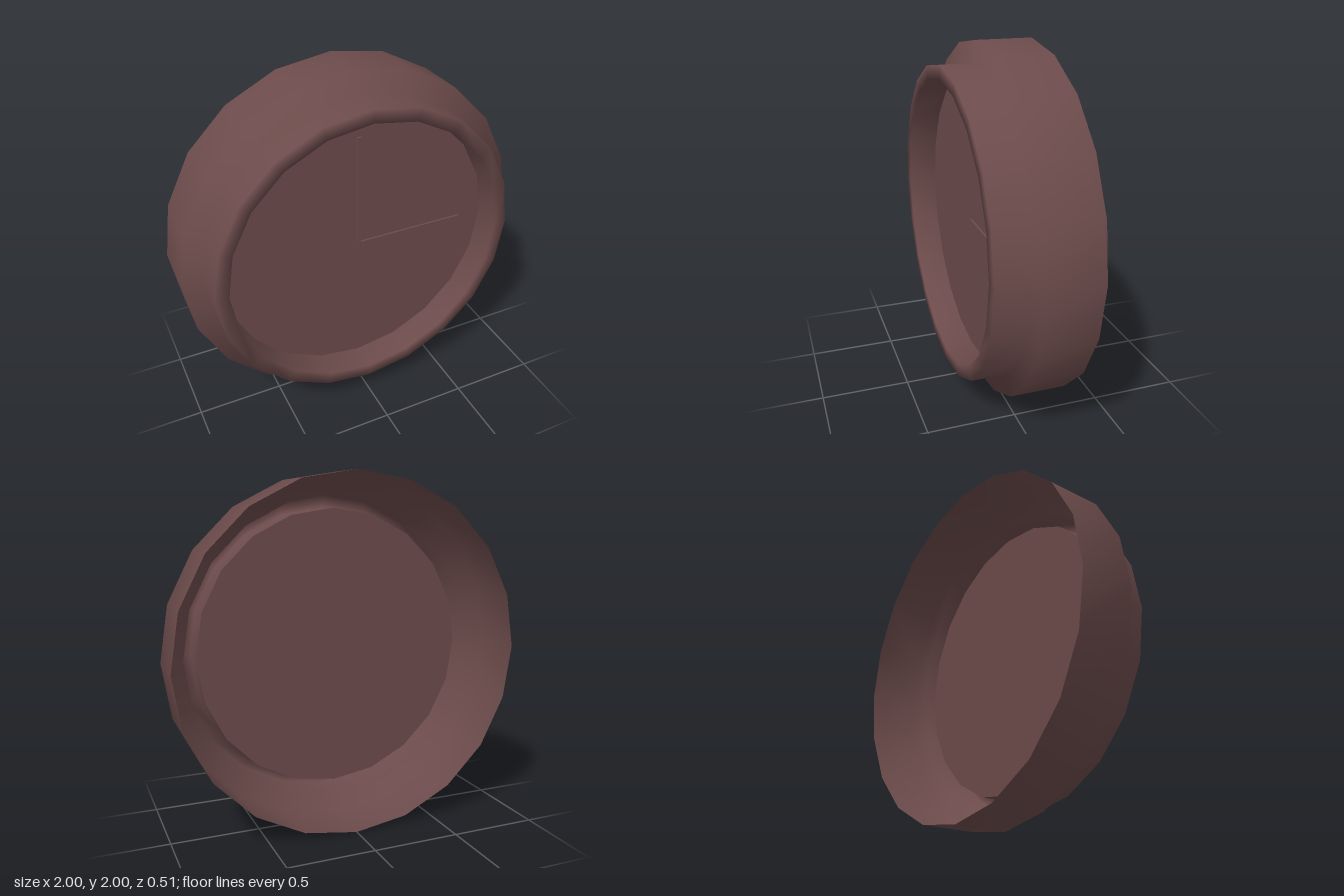
import * as THREE from 'three';

const SIDES = 20;

export function createModel() {
  const clock = new THREE.Group();
  clock.name = 'wallClock';
  const material = new THREE.MeshStandardMaterial({ color: 0x6b4a4a, side: THREE.DoubleSide });

  const add = (name, geometry, x, y, z) => {
    const mesh = new THREE.Mesh(geometry, material);
    mesh.name = name;
    mesh.position.set(x, y, z);
    clock.add(mesh);
    return mesh;
  };

  // Thin stepped casing, open at the back: drum, shoulder, rim, recessed inner wall
  const profile = [
    [1, -0.256], [1, 0.056], [0.88, 0.056], [0.88, 0.256], [0.805, 0.256], [0.805, 0.09],
  ].map(([r, z]) => new THREE.Vector2(r, z));
  add('casing', new THREE.LatheGeometry(profile, SIDES).rotateX(Math.PI / 2), 0, 1, 0);

  // Flat dial closing the recess
  add('dial', new THREE.CircleGeometry(0.805, SIDES), 0, 1, 0.09);

  // Hands pointing to three o'clock
  add('minuteHand', new THREE.BoxGeometry(0.025, 0.66, 0.012), 0, 1.33, 0.096);
  add('hourHand', new THREE.BoxGeometry(0.655, 0.022, 0.012), 0.3275, 1, 0.096);

  return clock;
}
